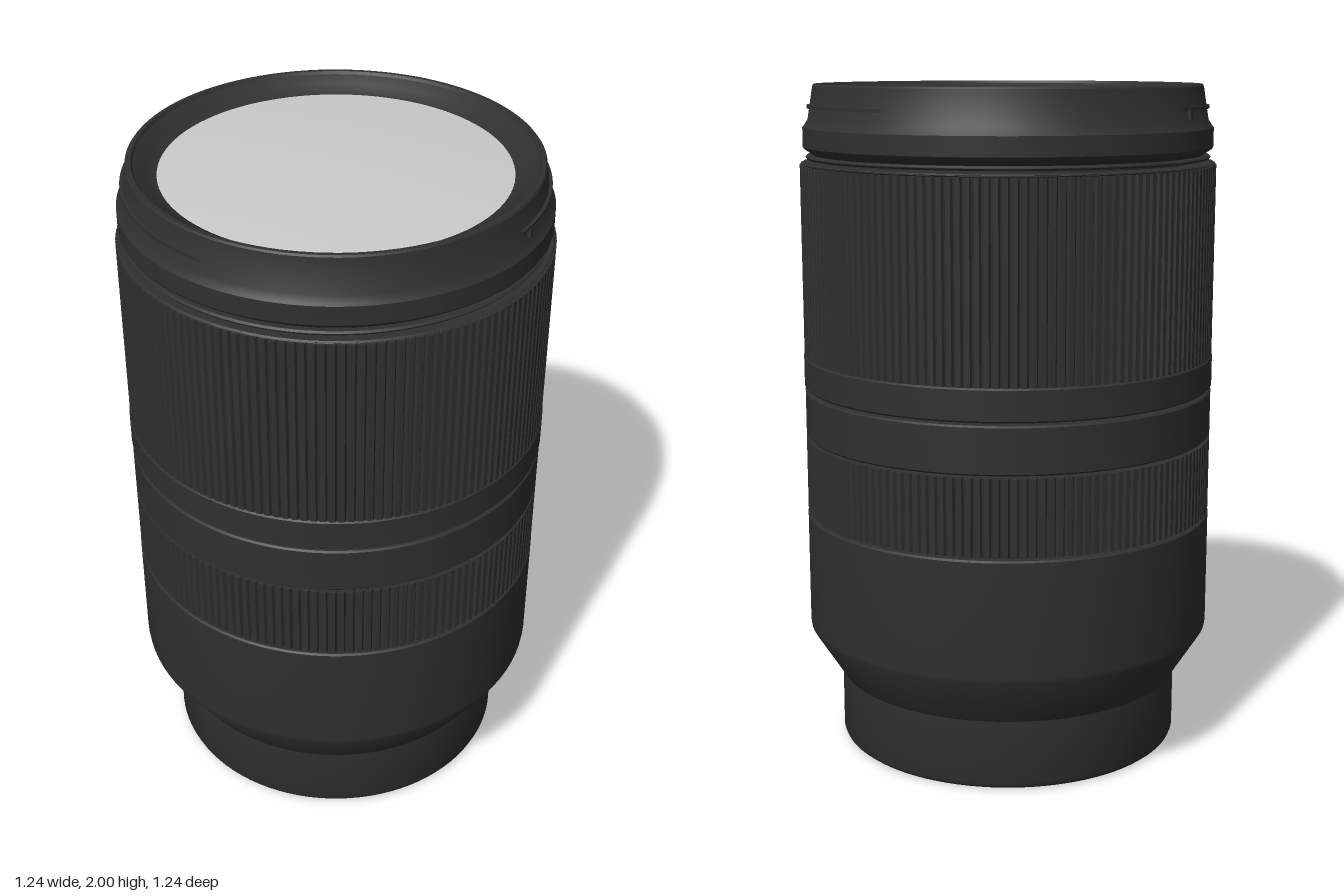
import * as THREE from 'three';
import { toCreasedNormals } from 'three/addons/utils/BufferGeometryUtils.js';

const black = new THREE.MeshStandardMaterial({ color: 0x303030 });
const glassGrey = new THREE.MeshStandardMaterial({ color: 0xcccccc });

export function createModel() {
  const model = new THREE.Group();

  const add = (name, geometry, material = black) => {
    const mesh = new THREE.Mesh(geometry, material);
    mesh.name = name;
    model.add(mesh);
    return mesh;
  };

  // Turned part: profile of [radius, height], listed up the outside
  const turned = (name, profile, material) => {
    const points = profile.map(([r, y]) => new THREE.Vector2(r, y));
    return add(name, toCreasedNormals(new THREE.LatheGeometry(points, 96), 0.45), material);
  };

  // Plain band with closed ends and tiny bevels
  const band = (name, y0, y1, r) => turned(name, [
    [0.5, y0], [r - 0.005, y0], [r, y0 + 0.005], [r, y1 - 0.005], [r - 0.005, y1], [0.5, y1],
  ]);

  // Rubber ring with fine vertical ribs
  const grip = (name, y0, y1, ribs = 150) => {
    const outline = [];
    for (let i = 0; i < ribs; i++) {
      [[0, 0.607], [0.2, 0.616], [0.75, 0.616], [0.95, 0.607]].forEach(([t, r]) => {
        const a = ((i + t) / ribs) * Math.PI * 2;
        outline.push(new THREE.Vector2(Math.cos(a) * r, Math.sin(a) * r));
      });
    }
    const shape = new THREE.Shape(outline);
    shape.holes.push(new THREE.Path().absarc(0, 0, 0.53, 0, Math.PI * 2, true));
    const geometry = new THREE.ExtrudeGeometry(shape, {
      depth: y1 - y0, bevelEnabled: false, curveSegments: 48,
    });
    geometry.rotateX(-Math.PI / 2).translate(0, y0, 0);
    add(name, geometry);
  };

  // Rear barrel: mount, flare and lower body, with a shallow recess underneath
  turned('rearBarrel', [
    [0, 0.025], [0.465, 0.025], [0.485, 0], [0.505, 0], [0.515, 0.008], [0.52, 0.02],
    [0.52, 0.21], [0.615, 0.36], [0.617, 0.375], [0.617, 0.715], [0.612, 0.72], [0.5, 0.72],
  ]);

  // Inner tube seen in the gaps between rings
  turned('innerTube', [[0.552, 0.7], [0.552, 1.83]]);

  // Rings up the barrel
  grip('focusGrip', 0.728, 0.953);
  band('centreBand', 0.961, 1.101, 0.616);
  band('scaleBand', 1.109, 1.205, 0.618);
  grip('zoomGrip', 1.205, 1.768);
  band('zoomGripLip', 1.768, 1.776, 0.612);
  band('frontCollar', 1.784, 1.796, 0.598);

  // Front barrel with tapered hood mount and sloping inner rim
  turned('frontBarrel', [
    [0.53, 1.79], [0.567, 1.79], [0.603, 1.815], [0.606, 1.82], [0.606, 1.875], [0.602, 1.88],
    [0.59, 1.898], [0.574, 1.995], [0.57, 2], [0.558, 2], [0.553, 1.992],
    [0.525, 1.975], [0.505, 1.957], [0.49, 1.952], [0.485, 1.94],
  ]);

  // Front glass, very slightly domed
  const dome = [];
  for (let i = 0; i <= 10; i++) {
    const r = 0.49 * (1 - i / 10);
    dome.push([r, 1.955 + 0.02 * (1 - (r / 0.49) ** 2)]);
  }
  turned('frontGlass', dome, glassGrey);

  // Two hood bayonet ridges, each with a small stop at one end
  for (const turn of [0, Math.PI]) {
    const ridge = new THREE.Group();
    ridge.name = 'hoodBayonet';
    const start = Math.PI / 2 - 0.77;
    const profile = [[0.57, 1.931], [0.592, 1.931], [0.592, 1.94], [0.57, 1.94]]
      .map(([r, y]) => new THREE.Vector2(r, y));
    const rail = new THREE.Mesh(
      toCreasedNormals(new THREE.LatheGeometry(profile, 40, start, 1.57), 0.5), black);
    rail.name = 'bayonetRail';
    const stop = new THREE.Mesh(new THREE.BoxGeometry(0.012, 0.026, 0.022), black);
    stop.name = 'bayonetStop';
    const a = start + 0.07;
    stop.position.set(Math.sin(a) * 0.586, 1.92, Math.cos(a) * 0.586);
    stop.rotation.y = a;
    ridge.add(rail, stop);
    ridge.rotation.y = turn;
    model.add(ridge);
  }

  return model;
}
